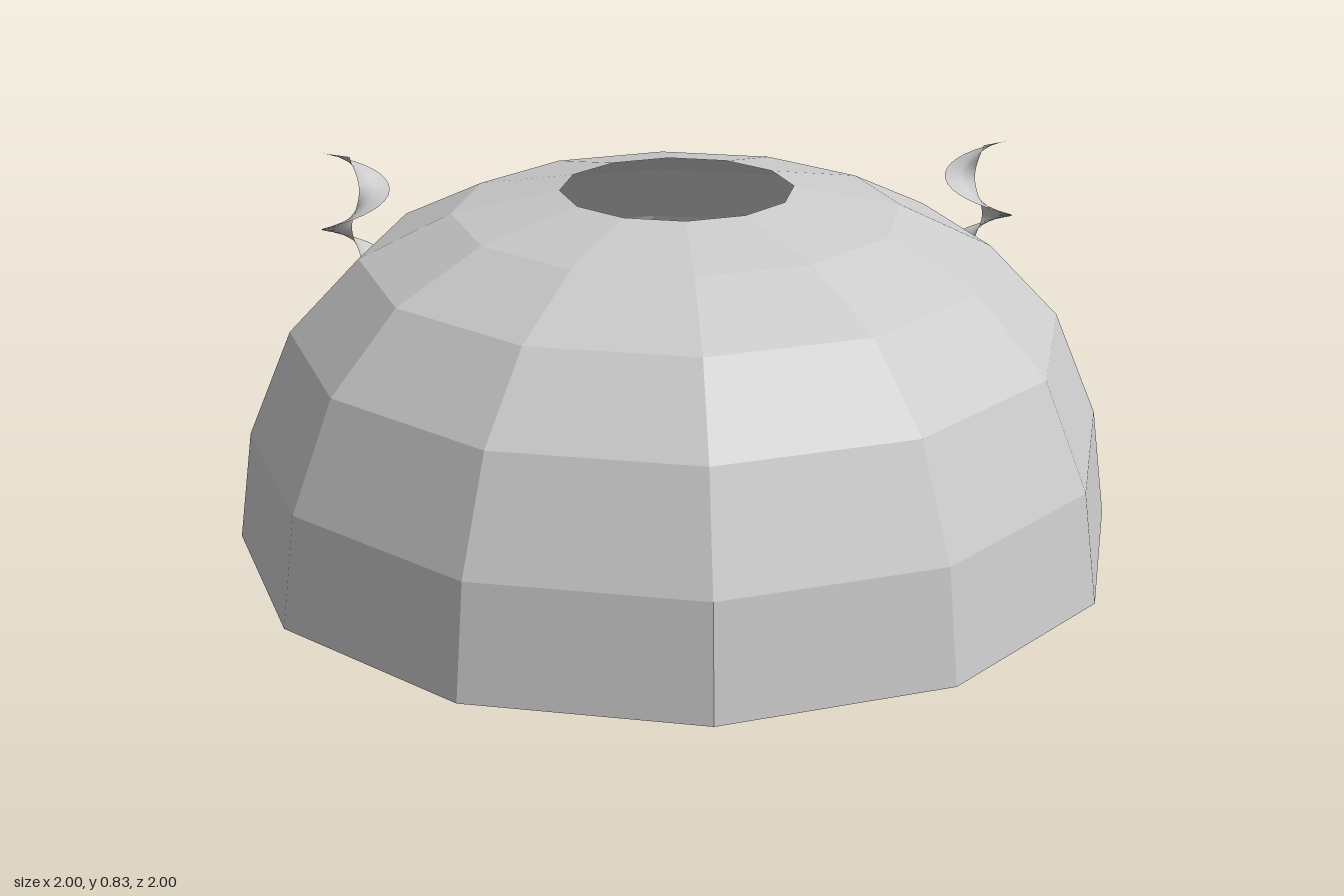
import * as THREE from 'three';
import { ParametricGeometry } from 'three/addons/geometries/ParametricGeometry.js';

const GREY = 0xcccccc;

// Twelve-sided open shell with a hole at the crown
function makeShell() {
  const profile = [[1, 0.01], [0.966, 0.26], [0.866, 0.5], [0.707, 0.667], [0.5, 0.767], [0.26, 0.815]]
    .map(([r, y]) => new THREE.Vector2(r, y));
  const shell = new THREE.Mesh(
    new THREE.LatheGeometry(profile, 12),
    new THREE.MeshStandardMaterial({ color: GREY, flatShading: true, side: THREE.DoubleSide })
  );
  shell.name = 'domeShell';
  return shell;
}

// Thin, smooth, rounded-edge disc filling the middle of the underside
function makeBaseDisc() {
  const geometry = new THREE.SphereGeometry(0.68, 32, 16);
  geometry.scale(1, 0.025, 1);
  const disc = new THREE.Mesh(geometry, new THREE.MeshStandardMaterial({ color: GREY }));
  disc.position.y = 0.027;
  disc.name = 'baseDisc';
  return disc;
}

// Helical ribbon running from the ground up through the shell; side = +1 left, -1 right
function makeAuger(side) {
  const height = 0.835, turns = 4.5, inner = 0.01, outer = 0.08;
  const geometry = new ParametricGeometry((u, v, target) => {
    const angle = Math.PI / 6 - v * turns * Math.PI * 2;
    const r = inner + (outer - inner) * u;
    target.set(-side * r * Math.cos(angle), v * height, r * Math.sin(angle));
  }, 2, 108);
  const auger = new THREE.Mesh(
    geometry,
    new THREE.MeshStandardMaterial({ color: GREY, side: THREE.DoubleSide })
  );
  auger.position.set(side * 0.723, 0, -0.24);
  auger.name = side > 0 ? 'leftAuger' : 'rightAuger';
  return auger;
}

export function createModel() {
  const model = new THREE.Group();
  model.name = 'domeWithAugers';
  model.add(makeShell(), makeBaseDisc());
  for (const side of [1, -1]) model.add(makeAuger(side));
  return model;
}
